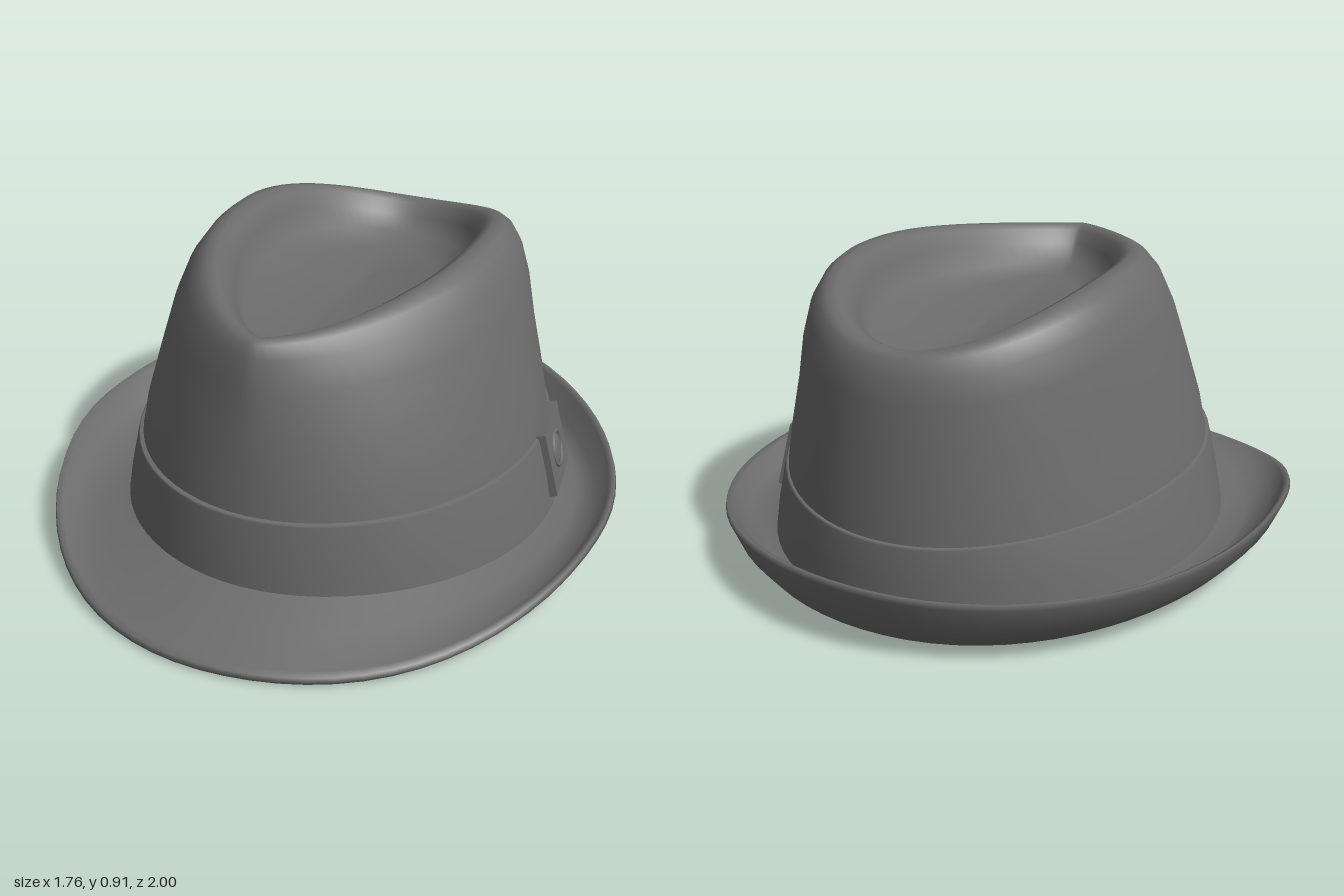
import * as THREE from 'three';

const SEGMENTS = 72;

// One egg-shaped ring: half width, front z, back z, heights at front / side / back.
// pinch narrows the front into a teardrop and moves the widest part backwards;
// flare skews the brim edge slightly.
function ringPoint([x, front, back, yFront, ySide, yBack, pinch = 0], angle, isBrim) {
  const s = Math.sin(angle), c = Math.cos(angle);
  const mid = (front + back) / 2 - 0.25 * pinch;
  const z = mid + (c > 0 ? front - mid : mid - back) * c;
  const narrow = c > 0 ? Math.pow(Math.abs(s), pinch * Math.min(1, c * 2)) : 1;
  const flare = isBrim ? Math.max(0, (x - 0.7) / 0.18) : 0;
  const shift = c < 0 ? -0.07 * c * c * flare : 0;
  const y = c > 0
    ? yFront + (ySide - yFront) * Math.pow(Math.abs(s), isBrim ? 4 : 3)
    : yBack + (ySide - yBack) * s * s;
  return [x * s * narrow + shift, y - 0.035 * s * Math.abs(s) * flare, z];
}

// Skin a stack of rings with smooth normals
function loft(rings, isBrim = false) {
  const positions = [], index = [];
  rings.forEach((ring, i) => {
    for (let j = 0; j < SEGMENTS; j++) {
      positions.push(...ringPoint(ring, (j / SEGMENTS) * Math.PI * 2, isBrim));
      if (i === rings.length - 1) continue;
      const k = (j + 1) % SEGMENTS;
      const a = i * SEGMENTS + j, b = i * SEGMENTS + k;
      index.push(a, b, a + SEGMENTS, b, b + SEGMENTS, a + SEGMENTS);
    }
  });
  const geometry = new THREE.BufferGeometry();
  geometry.setAttribute('position', new THREE.Float32BufferAttribute(positions, 3));
  geometry.setIndex(index);
  geometry.computeVertexNormals();
  return geometry;
}

export function createModel() {
  const hat = new THREE.Group();
  hat.name = 'hat';
  const felt = new THREE.MeshStandardMaterial({ color: 0x6c6c6c });
  felt.name = 'grey felt';

  const add = (name, geometry, parent = hat) => {
    const mesh = new THREE.Mesh(geometry, felt);
    mesh.name = name;
    parent.add(mesh);
    return mesh;
  };

  // Brim: under side, rolled edge, then back in over the top
  add('brim', loft([
    [0.625, 0.675, -0.775, 0.16, 0.16, 0.16],
    [0.67, 0.705, -0.805, 0.08, 0.05, 0.035],
    [0.74, 0.82, -0.87, 0.035, 0.025, 0.012],
    [0.80, 0.92, -0.90, 0.01, 0.035, 0.02],
    [0.85, 0.98, -0.96, 0.0, 0.08, 0.09],
    [0.88, 1.0, -1.0, 0.005, 0.14, 0.185],
    [0.875, 0.995, -0.995, 0.022, 0.155, 0.205],
    [0.855, 0.975, -0.97, 0.03, 0.145, 0.19],
    [0.82, 0.93, -0.92, 0.04, 0.085, 0.10],
    [0.75, 0.84, -0.87, 0.07, 0.06, 0.05],
    [0.66, 0.71, -0.81, 0.11, 0.08, 0.06],
  ], true));

  // Crown: tapering wall, pinched ridge, sunken teardrop top
  const crownRings = [
    [0.665, 0.715, -0.825, 0.06, 0.06, 0.06, 0],
    [0.635, 0.70, -0.815, 0.25, 0.25, 0.22, 0],
    [0.602, 0.685, -0.808, 0.42, 0.42, 0.38, 0.03],
    [0.558, 0.663, -0.793, 0.58, 0.59, 0.53, 0.12],
    [0.525, 0.648, -0.785, 0.70, 0.73, 0.65, 0.24],
    [0.49, 0.632, -0.772, 0.79, 0.825, 0.72, 0.35],
    [0.455, 0.612, -0.75, 0.825, 0.877, 0.765, 0.42],
    [0.425, 0.595, -0.73, 0.834, 0.9, 0.778, 0.45],
    [0.39, 0.575, -0.705, 0.834, 0.905, 0.783, 0.45],
    [0.36, 0.55, -0.68, 0.82, 0.89, 0.773, 0.45],
    [0.33, 0.52, -0.65, 0.78, 0.84, 0.735, 0.45],
    [0.30, 0.48, -0.61, 0.73, 0.76, 0.69, 0.45],
    [0.22, 0.37, -0.49, 0.71, 0.715, 0.68, 0.4],
    [0, -0.17, -0.17, 0.70, 0.70, 0.70, 0],
  ];
  add('crown', loft(crownRings));

  // Lining: the crown wall offset inwards and skinned from the top down
  const last = crownRings.length - 1;
  const liningRings = crownRings.map(([x, f, b, yf, ys, yb, p], i) => {
    const d = i === last ? 0 : 0.018 * Math.sign(i - 8);
    const drop = i === 0 ? 0 : 0.02;
    return [x + d, f + d, b - d, yf - drop, ys - drop, yb - drop, p];
  });
  add('lining', loft(liningRings.reverse()));

  // Ribbon band with a small step at its upper edge
  add('band', loft([
    [0.685, 0.73, -0.835, 0.07, 0.07, 0.05],
    [0.665, 0.722, -0.832, 0.18, 0.18, 0.15],
    [0.634, 0.708, -0.825, 0.32, 0.305, 0.25],
    [0.629, 0.704, -0.82, 0.326, 0.311, 0.256],
    [0.60, 0.68, -0.80, 0.326, 0.311, 0.256],
  ]));

  // Bow on the left side: flat knot with a round button
  const bow = new THREE.Group();
  bow.name = 'bow';
  bow.position.set(0.64, 0.215, -0.2);
  bow.rotation.set(0, 0.14, 0.24, 'YZX');
  hat.add(bow);
  add('bowKnot', new THREE.BoxGeometry(0.04, 0.215, 0.24), bow);
  const ring = add('buttonRing', new THREE.TorusGeometry(0.055, 0.008, 8, 32), bow);
  ring.position.x = 0.019;
  ring.rotation.y = Math.PI / 2;
  const button = add('button', new THREE.SphereGeometry(0.05, 24, 12), bow);
  button.scale.x = 0.25;
  button.position.x = 0.017;

  return hat;
}
